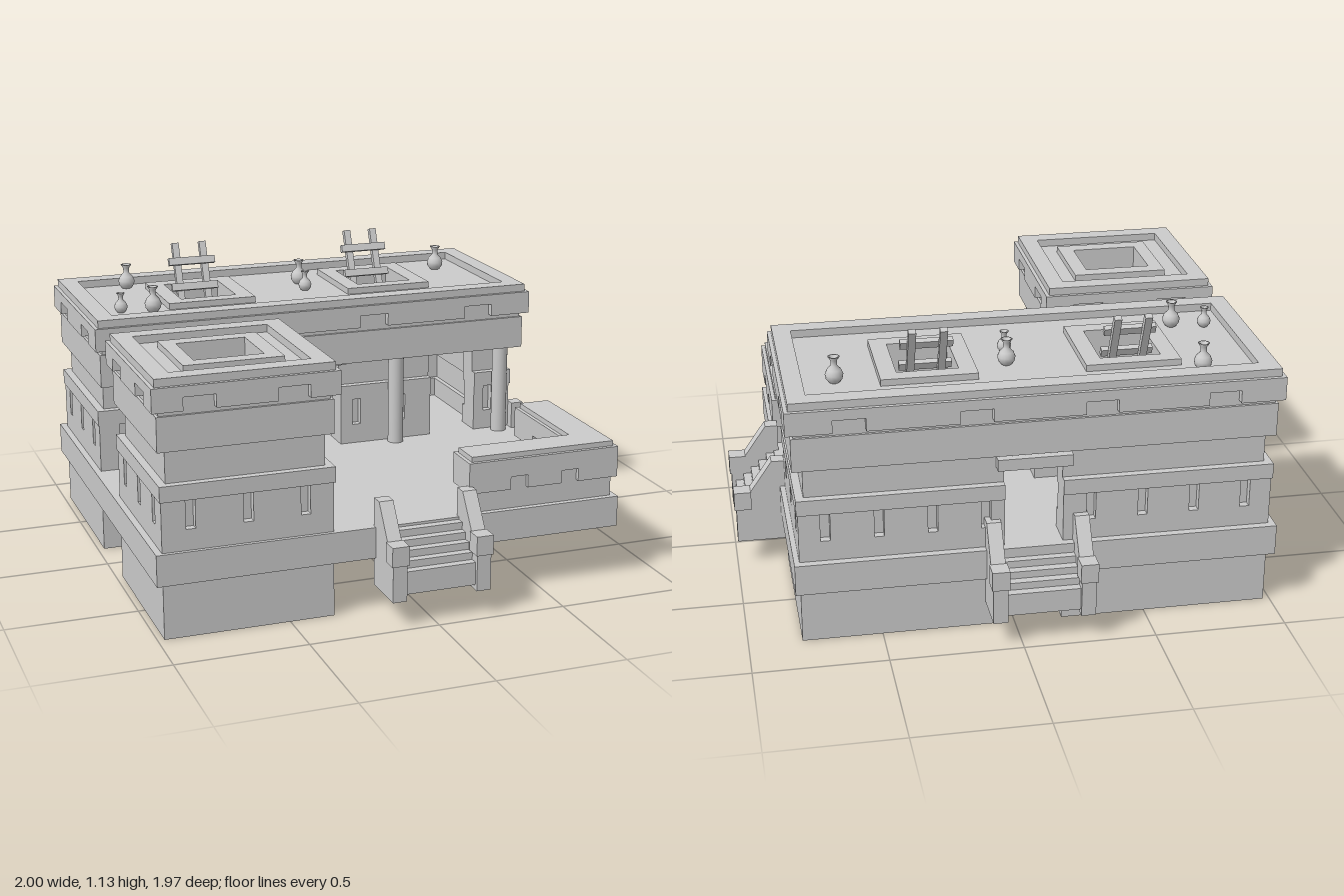
import * as THREE from 'three';

const MAT = new THREE.MeshStandardMaterial({ color: 0xcccccc, side: THREE.DoubleSide });

function group(name, parent) {
  const g = new THREE.Group();
  g.name = name;
  parent.add(g);
  return g;
}

function add(parent, name, geometry) {
  const m = new THREE.Mesh(geometry, MAT);
  m.name = name;
  parent.add(m);
  return m;
}

// Box given by its extents
function box(parent, name, x0, x1, y0, y1, z0, z1) {
  const m = add(parent, name, new THREE.BoxGeometry(x1 - x0, y1 - y0, z1 - z0));
  m.position.set((x0 + x1) / 2, (y0 + y1) / 2, (z0 + z1) / 2);
  return m;
}

// Horizontal slab from a plan outline [x, z] with rectangular holes
function slab(parent, name, outline, y0, y1, holes = []) {
  const toVec = ([x, z]) => new THREE.Vector2(x, -z);
  const shape = new THREE.Shape(outline.map(toVec));
  holes.forEach((h) => shape.holes.push(new THREE.Path(rect(h).map(toVec))));
  const g = new THREE.ExtrudeGeometry(shape, { depth: y1 - y0, bevelEnabled: false });
  g.rotateX(-Math.PI / 2);
  g.translate(0, y0, 0);
  return add(parent, name, g);
}

const rect = ([x0, x1, z0, z1]) => [[x0, z0], [x0, z1], [x1, z1], [x1, z0]];
const inset = ([x0, x1, z0, z1], d) => [x0 + d, x1 - d, z0 + d, z1 - d];

// Pieces of the span a..b left over between gaps
function pieces(a, b, gaps = []) {
  const out = [];
  let cur = a;
  [...gaps].sort((p, q) => p[0] - q[0]).forEach(([s, e]) => {
    if (s > cur + 0.005) out.push([cur, s]);
    cur = Math.max(cur, e);
  });
  if (b > cur + 0.005) out.push([cur, b]);
  return out;
}

// Evenly spaced gaps along a span
function spaced(a, b, period, width) {
  const n = Math.max(1, Math.round((b - a) / period));
  return Array.from({ length: n }, (_, i) => {
    const c = a + ((i + 0.5) * (b - a)) / n;
    return [c - width / 2, c + width / 2];
  });
}

// Four walls of thickness t with gaps per side
function ring(parent, name, r, y0, y1, t, gaps = {}) {
  const [x0, x1, z0, z1] = r;
  pieces(x0, x1, gaps.front).forEach(([s, e]) => box(parent, name, s, e, y0, y1, z1 - t, z1));
  pieces(x0, x1, gaps.back).forEach(([s, e]) => box(parent, name, s, e, y0, y1, z0, z0 + t));
  pieces(z0 + t, z1 - t, gaps.right).forEach(([s, e]) => box(parent, name, x1 - t, x1, y0, y1, s, e));
  pieces(z0 + t, z1 - t, gaps.left).forEach(([s, e]) => box(parent, name, x0, x0 + t, y0, y1, s, e));
}

// Add regular gaps to each side's doors
function withSpaced(r, doors, period, width) {
  const sx = spaced(r[0], r[1], period, width), sz = spaced(r[2], r[3], period, width);
  const join = (side, s) => [...(doors[side] || []), ...s];
  return { front: join('front', sx), back: join('back', sx), left: join('left', sz), right: join('right', sz) };
}

// Storeyed building: plinth, banded walls, cornice, parapet, roof with hatches
function building(root, name, wall, roof, doors, hatches) {
  const b = group(name, root);
  ring(b, 'plinth', wall, 0, 0.21, 0.12, doors);
  ring(b, 'lowerWall', wall, 0.33, 0.41, 0.12, doors);
  ring(b, 'windowRecess', inset(wall, 0.03), 0.41, 0.52, 0.07, doors);
  ring(b, 'windowBlock', wall, 0.41, 0.52, 0.06, withSpaced(wall, doors, 0.197, 0.036));
  ring(b, 'sillBand', inset(wall, -0.005), 0.52, 0.58, 0.12, doors);
  ring(b, 'upperWall', inset(wall, 0.025), 0.58, 0.7, 0.09, doors);
  const holes = hatches.map((h) => h.hole);
  slab(b, 'cornice', rect(inset(roof, 0.02)), 0.7, 0.83, holes);
  slab(b, 'roof', rect(inset(roof, 0.03)), 0.83, 0.94, holes);
  ring(b, 'parapetBand', roof, 0.9, 0.94, 0.06);
  ring(b, 'parapetTooth', roof, 0.85, 0.9, 0.06, withSpaced(roof, {}, 0.41, 0.12));
  ring(b, 'parapetCap', inset(roof, 0.015), 0.94, 0.97, 0.07);
  hatches.forEach((h) => slab(b, 'hatchFrame', rect(h.frame), 0.94, 0.965, [h.hole]));
  return b;
}

// Flight of steps descending along +z from its local origin
function stairs(root, name, x, z, angle) {
  const s = group(name, root);
  const cheek = new THREE.Shape([[-0.02, 0.1], [0.175, 0.1], [0.175, 0.31], [0.12, 0.31], [0.03, 0.44], [-0.02, 0.44]]
    .map(([a, y]) => new THREE.Vector2(-a, y)));
  for (const side of [-1, 1]) {
    const g = new THREE.ExtrudeGeometry(cheek, { depth: 0.055, bevelEnabled: false });
    g.rotateY(Math.PI / 2);
    g.translate(side * 0.165 - 0.0275, 0, 0);
    add(s, 'stairCheek', g);
    box(s, 'stairNewel', side * 0.165 - 0.033, side * 0.165 + 0.033, 0.24, 0.315, 0.115, 0.182);
  }
  for (let i = 0; i < 5; i++) {
    box(s, 'step', -0.14, 0.14, 0.12, 0.32 - i * 0.028, i ? i * 0.032 : -0.1, (i + 1) * 0.032);
  }
  s.position.set(x, 0, z);
  s.rotation.y = angle;
}

// Leaning ladder that pokes out of a hatch
function ladder(root, x) {
  const l = group('ladder', root);
  const lean = Math.atan(0.4), len = 0.85;
  for (const side of [-1, 1]) box(l, 'ladderRail', side * 0.058 - 0.014, side * 0.058 + 0.014, -len, 0, -0.012, 0.012);
  for (let d = 0.08; d < len; d += 0.107) box(l, 'ladderRung', -0.098, 0.098, -d - 0.015, -d + 0.015, 0.008, 0.03);
  l.position.set(x, 1.13, -0.625);
  l.rotation.x = -lean;
}

export function createModel() {
  const root = new THREE.Group();
  root.name = 'courtyardHouse';

  slab(root, 'platform', rect([-1, 0.82, -0.84, 0.8]), 0.21, 0.33);

  // Long rear house with two doors to the yard and one behind
  const hatch = (x) => ({ frame: [x - 0.18, x + 0.18, -0.66, -0.27], hole: [x - 0.115, x + 0.115, -0.6, -0.33] });
  const mid = [-0.18, 0.04];
  const house = building(root, 'rearHouse', [-0.975, 0.8, -0.81, -0.165], [-1, 0.835, -0.84, -0.06],
    { front: [mid, [0.44, 0.64]], back: [mid] }, [hatch(-0.47), hatch(0.29)]);
  box(house, 'frontLintel', -0.2, 0.06, 0.675, 0.72, -0.25, -0.15);
  box(house, 'frontLintel', 0.4, 0.65, 0.68, 0.72, -0.25, -0.15);
  box(house, 'rearLintel', -0.21, 0.07, 0.645, 0.69, -0.83, -0.72);

  // Porch columns
  for (const x of [-0.325, 0.27, 0.74]) {
    const c = add(root, 'porchColumn', new THREE.CylinderGeometry(0.032, 0.032, 0.39, 20));
    c.position.set(x, 0.525, -0.13);
  }

  // Square front tower, open towards the yard
  building(root, 'frontTower', [-0.975, -0.33, 0.15, 0.785], [-1, -0.305, 0.11, 0.795],
    { right: [[0.28, 0.67]] }, [{ frame: [-0.84, -0.46, 0.27, 0.63], hole: [-0.785, -0.52, 0.33, 0.57] }]);

  // Low corner wall
  const low = group('cornerWall', root);
  const ell = (d) => [[0.2 + d, 0.64 + d], [0.2 + d, 0.795 - d], [0.815 - d, 0.795 - d], [0.815 - d, 0.2 + d],
    [0.66 + d, 0.2 + d], [0.66 + d, 0.64 + d]];
  slab(low, 'cornerWallBody', ell(0.018), 0.33, 0.46);
  slab(low, 'cornerWallCoping', ell(0), 0.46, 0.53);
  slab(low, 'cornerWallCap', ell(0.015), 0.53, 0.55);
  const teeth = [[0.37, 0.44], [0.58, 0.65]];
  pieces(0.2, 0.815, teeth).forEach(([s, e]) => box(low, 'cornerWallTooth', s, e, 0.41, 0.46, 0.64, 0.795));
  pieces(0.2, 0.795, teeth).forEach(([s, e]) => box(low, 'cornerWallTooth', 0.66, 0.815, 0.41, 0.46, s, e));

  // Stairs on three sides
  stairs(root, 'frontStairs', 0.02, 0.8, 0);
  stairs(root, 'leftStairs', 0.82, 0.01, Math.PI / 2);
  stairs(root, 'rearStairs', -0.08, -0.805, Math.PI);

  ladder(root, -0.47);
  ladder(root, 0.29);

  // Roof jars: x, z, scale
  const jar = [[0, 0], [0.02, 0], [0.031, 0.015], [0.034, 0.032], [0.026, 0.05], [0.012, 0.065], [0.012, 0.085],
    [0.022, 0.1], [0.016, 0.1], [0.006, 0.08]].map(([r, y]) => new THREE.Vector2(r, y));
  for (const [x, z, k] of [[-0.72, -0.7, 1], [-0.84, -0.3, 0.78], [-0.715, -0.275, 1],
    [-0.015, -0.535, 1], [-0.03, -0.41, 0.8], [0.63, -0.59, 1]]) {
    const j = add(root, 'roofJar', new THREE.LatheGeometry(jar, 16));
    j.position.set(x, 0.94, z);
    j.scale.setScalar(k);
  }
  return root;
}
